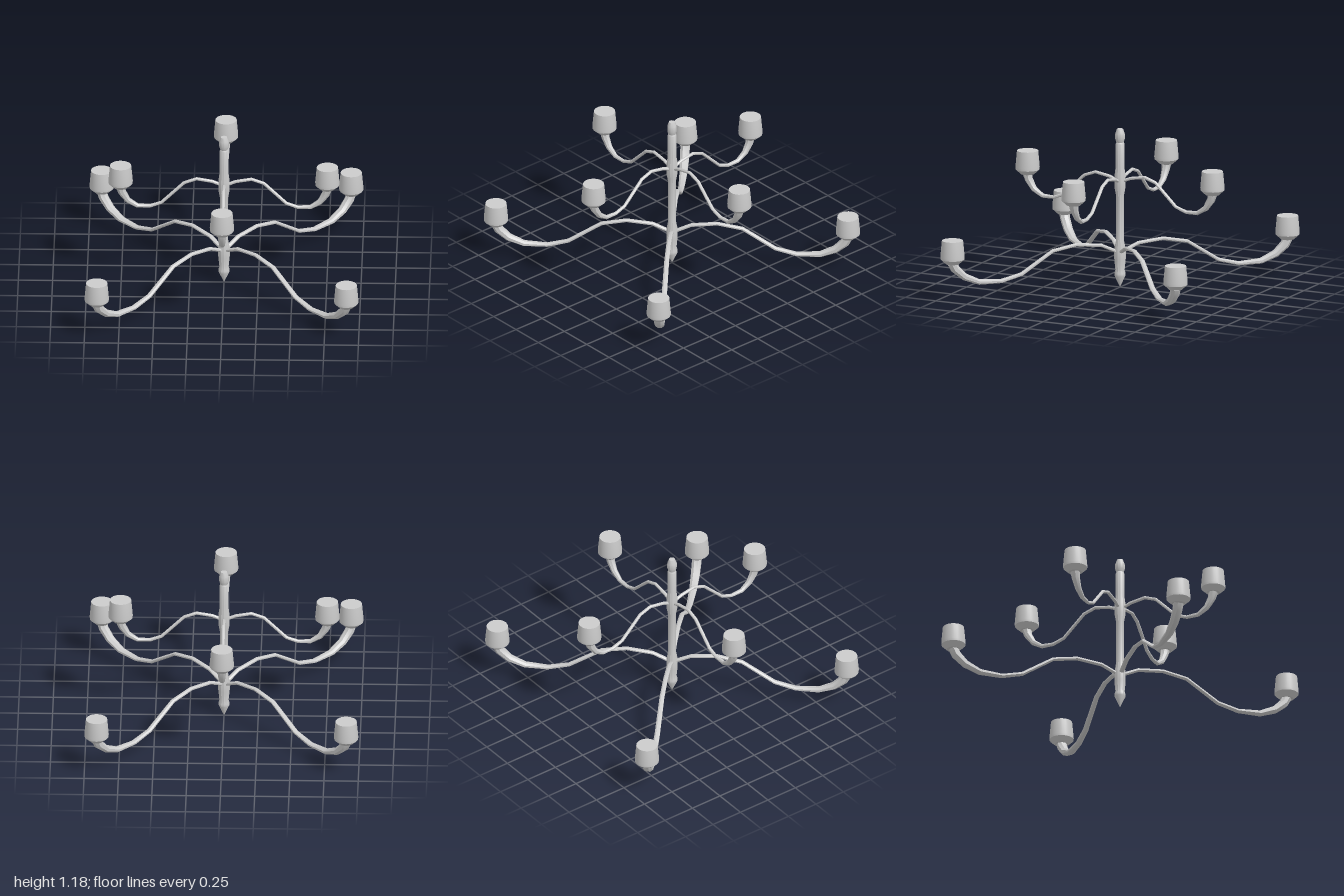
import * as THREE from 'three';
import { toCreasedNormals } from 'three/addons/utils/BufferGeometryUtils.js';

const material = new THREE.MeshStandardMaterial({ color: 0xcccccc });

function lathe(profile, sides) {
  const points = profile.map(([r, y]) => new THREE.Vector2(r, y));
  return toCreasedNormals(new THREE.LatheGeometry(points, sides), 0.5);
}

// Sweeps an elliptical section along stations of [distance, height, half width, half thickness].
function sweepArm(stations, sides = 8) {
  const pos = [], index = [], n = stations.length;
  stations.forEach(([x, y, w, t], i) => {
    const a = stations[Math.max(i - 1, 0)], b = stations[Math.min(i + 1, n - 1)];
    const tangent = new THREE.Vector2(b[0] - a[0], b[1] - a[1]).normalize();
    for (let k = 0; k < sides; k++) {
      const ang = ((k + 0.5) / sides) * Math.PI * 2;
      const up = Math.cos(ang) * t;
      pos.push(x - tangent.y * up, y + tangent.x * up, Math.sin(ang) * w);
    }
  });
  for (let i = 0; i < n - 1; i++) {
    for (let k = 0; k < sides; k++) {
      const a = i * sides + k, b = i * sides + (k + 1) % sides;
      index.push(a, b, a + sides, b, b + sides, a + sides);
    }
  }
  // End caps
  const last = (n - 1) * sides;
  for (let k = 1; k < sides - 1; k++) {
    index.push(0, k + 1, k, last, last + k, last + k + 1);
  }
  const geo = new THREE.BufferGeometry();
  geo.setAttribute('position', new THREE.Float32BufferAttribute(pos, 3));
  geo.setIndex(index);
  return toCreasedNormals(geo, 0.5);
}

export function createModel() {
  const model = new THREE.Group();
  const add = (parent, name, geo) => {
    const mesh = new THREE.Mesh(geo, material);
    mesh.name = name;
    parent.add(mesh);
    return mesh;
  };

  // Turned central column with pointed finial, two swellings and a top knob
  add(model, 'column', lathe([
    [0, 0], [0.041, 0.088], [0.041, 0.105], [0.034, 0.13], [0.042, 0.21], [0.042, 0.28],
    [0.028, 0.36], [0.028, 0.68], [0.041, 0.75], [0.041, 0.83], [0.032, 0.9],
    [0.032, 1.075], [0.027, 1.085], [0.035, 1.11], [0.035, 1.15], [0.023, 1.185], [0, 1.185],
  ], 12));

  // Candle cup, base at y = 0
  const cupGeo = lathe([
    [0, 0], [0.05, 0], [0.088, 0.035], [0.089, 0.055], [0.078, 0.175], [0, 0.175],
  ], 24);

  const upperArm = sweepArm([
    [0.02, 0.795, 0.013, 0.012], [0.085, 0.822, 0.013, 0.012], [0.2, 0.842, 0.013, 0.012],
    [0.29, 0.81, 0.013, 0.012], [0.455, 0.648, 0.013, 0.012], [0.54, 0.617, 0.014, 0.013],
    [0.63, 0.619, 0.017, 0.016], [0.7, 0.663, 0.023, 0.022], [0.743, 0.73, 0.03, 0.03],
    [0.754, 0.775, 0.036, 0.036],
  ]);
  const d = Math.SQRT2;
  const lowerArm = sweepArm([
    [0.02 * d, 0.27, 0.018, 0.013], [0.1 * d, 0.322, 0.018, 0.013], [0.235 * d, 0.342, 0.018, 0.013],
    [0.365 * d, 0.308, 0.019, 0.013], [0.535 * d, 0.152, 0.021, 0.014], [0.645 * d, 0.112, 0.024, 0.015],
    [0.765 * d, 0.118, 0.03, 0.021], [0.845 * d, 0.165, 0.035, 0.028], [0.896 * d, 0.23, 0.037, 0.035],
    [0.91 * d, 0.275, 0.039, 0.038],
  ]);

  // Two tiers of four arms; the lower tier is longer and set on the diagonals
  const tiers = [
    { name: 'upper', geo: upperArm, reach: 0.754, cupY: 0.77, turn: 0 },
    { name: 'lower', geo: lowerArm, reach: 0.91 * d, cupY: 0.268, turn: Math.PI / 4 },
  ];
  for (const { name, geo, reach, cupY, turn } of tiers) {
    for (let i = 0; i < 4; i++) {
      const branch = new THREE.Group();
      branch.name = `${name}Branch${i + 1}`;
      branch.rotation.y = turn + i * Math.PI / 2;
      add(branch, `${name}Arm`, geo);
      add(branch, `${name}Cup`, cupGeo).position.set(reach, cupY, 0);
      model.add(branch);
    }
  }
  return model;
}
